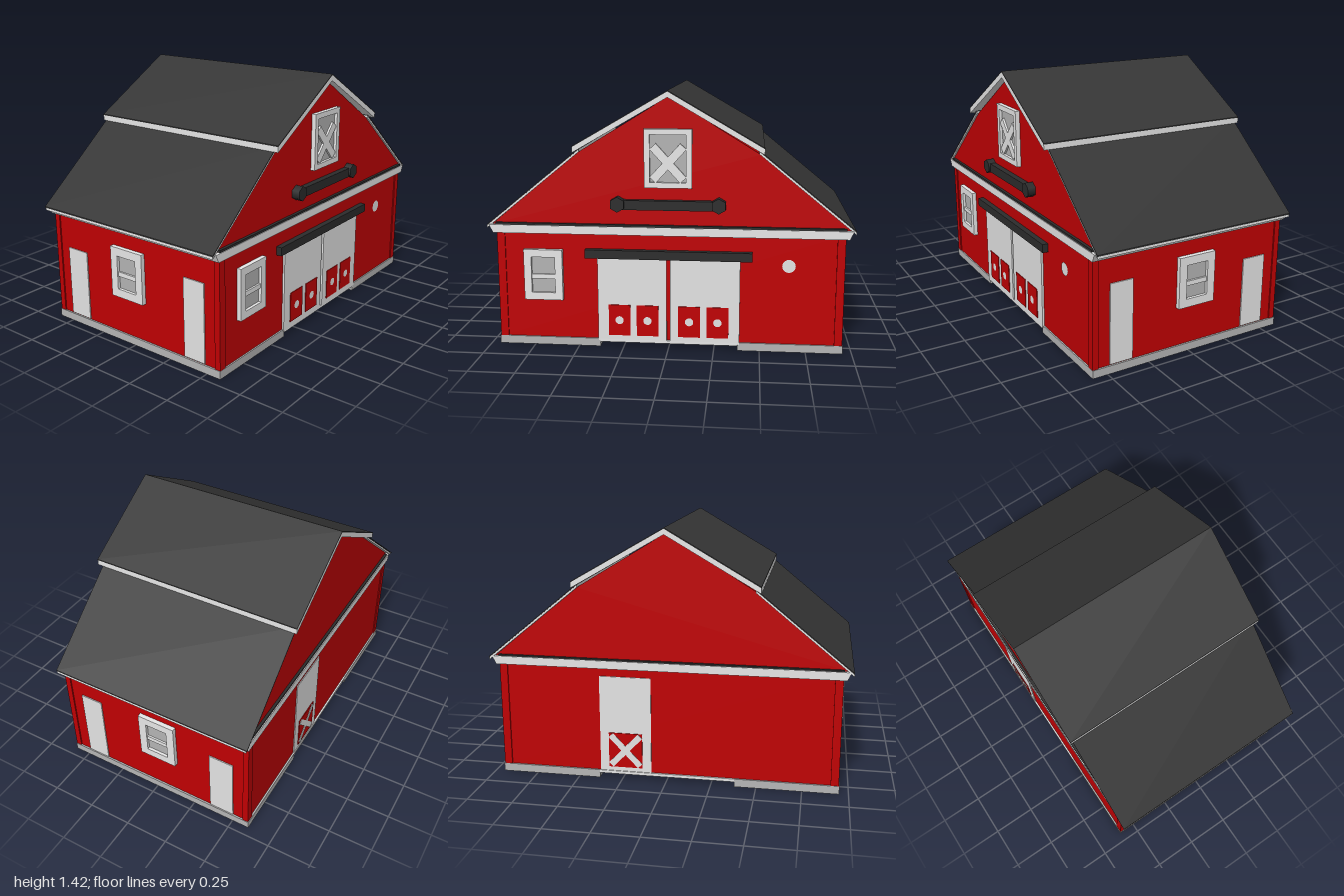
import * as THREE from 'three';

const paint = (name, color) => Object.assign(new THREE.MeshStandardMaterial({ color }), { name });

export function createModel() {
  const red = paint('barn red', 0xc00002);
  const trim = paint('white trim', 0xf2f2f2);
  const door = paint('door white', 0xe4e4e4);
  const roof = paint('roof charcoal', 0x363636);
  const iron = paint('rail iron', 0x2c2c2c);
  const pane = paint('window grey', 0xb4b4b4);
  const stone = paint('base grey', 0xb6b6b6);
  const barn = new THREE.Group();
  barn.name = 'barn';

  const add = (parent, name, geo, mat, x = 0, y = 0, z = 0) => {
    const m = new THREE.Mesh(geo, mat);
    m.name = name;
    m.position.set(x, y, z);
    parent.add(m);
    return m;
  };
  // Box given by its limits on each axis
  const box = (parent, name, mat, x0, x1, y0, y1, z0, z1) =>
    add(parent, name, new THREE.BoxGeometry(x1 - x0, y1 - y0, z1 - z0), mat,
      (x0 + x1) / 2, (y0 + y1) / 2, (z0 + z1) / 2);
  const polygon = pts => new THREE.Shape(pts.map(p => new THREE.Vector2(...p)));
  // Cross-section in xy, extruded between two z limits
  const prism = (name, mat, pts, z0, z1) =>
    add(barn, name, new THREE.ExtrudeGeometry(polygon(pts), { depth: z1 - z0, bevelEnabled: false }), mat, 0, 0, z0);
  // Strip below a roof line, between two vertical offsets
  const layer = (name, mat, line, top, bottom, z0, z1) => prism(name, mat, [
    ...line.map(([x, y]) => [x, y - bottom]),
    ...line.map(([x, y]) => [x, y - top]).reverse(),
  ], z0, z1);
  const rect = (w, h) => [[-w / 2, -h / 2], [w / 2, -h / 2], [w / 2, h / 2], [-w / 2, h / 2]];
  // Two crossed bars filling a w by h opening
  const cross = (parent, w, h, bar, depth, y, z, mat) => {
    for (const s of [-1, 1]) {
      const m = add(parent, 'crossBar', new THREE.BoxGeometry(bar, Math.hypot(w, h) - bar, depth), mat, 0, y, z);
      m.rotation.z = s * Math.atan2(w, h);
    }
  };

  // Walls and gable, reaching up to the roof boards
  box(barn, 'walls', red, -0.94, 0.94, 0.04, 0.66, -0.59, 0.58);
  prism('gable', red, [[-0.975, 0.684], [0.975, 0.684], [0.49, 1.085], [0, 1.386], [-0.49, 1.085]], -0.585, 0.577);
  for (const x of [-0.925, 0.925]) for (const z of [-0.58, 0.57])
    box(barn, 'cornerBoard', red, x - 0.022, x + 0.022, 0.045, 0.64, z - 0.017, z + 0.017);

  // Flared eave band with a dark ledge
  prism('eaveBand', trim, [[-0.965, 0.64], [0.965, 0.64], [0.987, 0.685], [-0.987, 0.685]], -0.605, 0.598);
  box(barn, 'ledgeFront', iron, -0.95, 0.95, 0.685, 0.697, 0.575, 0.594);
  box(barn, 'ledgeBack', iron, -0.95, 0.95, 0.685, 0.694, -0.6, -0.58);

  // Roof: dark sheets over white boards
  const upper = [[-0.51, 1.125], [0, 1.42], [0.51, 1.125]];
  layer('upperRoof', roof, upper, 0, 0.006, -0.63, 0.62);
  layer('upperRoofBoards', trim, upper, 0.006, 0.036, -0.63, 0.62);
  for (const s of [-1, 1]) {
    const lower = [[s * 0.48, 1.11], [s, 0.685]];
    if (s < 0) lower.reverse();
    layer('lowerRoof', roof, lower, 0, 0.007, -0.615, 0.59);
    layer('lowerRoofBoards', trim, lower, 0.007, 0.02, -0.61, 0.588);
  }

  // Base, higher under the doors
  for (const s of [-1, 1])
    box(barn, 'base', stone, s * 0.665 - 0.285, s * 0.665 + 0.285, 0, 0.045, -0.6, 0.588);
  box(barn, 'middleFloor', trim, -0.38, 0.38, 0.028, 0.045, -0.6, 0.592);

  // Front double door with red panels
  for (const s of [-1, 1]) {
    box(barn, 'frontDoor', door, s * 0.2 - 0.19, s * 0.2 + 0.19, 0.035, 0.52, 0.57, 0.592);
    for (const x of [0.115, 0.27]) {
      box(barn, 'doorPanel', red, s * x - 0.06, s * x + 0.06, 0.07, 0.245, 0.591, 0.596);
      add(barn, 'panelDot', new THREE.CircleGeometry(0.023, 16), door, s * x, 0.158, 0.598);
    }
  }

  // Sliding rails, the loft one with pointed ends
  box(barn, 'doorRail', iron, -0.455, 0.455, 0.51, 0.558, 0.57, 0.613);
  box(barn, 'loftRail', iron, -0.29, 0.29, 0.783, 0.835, 0.57, 0.612);
  for (const s of [-1, 1]) {
    const end = add(barn, 'loftRailEnd', new THREE.CylinderGeometry(0.042, 0.042, 0.05, 6), iron, s * 0.272, 0.812, 0.598);
    end.rotation.x = Math.PI / 2;
  }

  // Framed window facing +z in its own group
  const windowAt = (name, w, h, border, crossed, x, y, z, turn) => {
    const g = new THREE.Group();
    g.name = name;
    g.position.set(x, y, z);
    g.rotation.y = turn;
    barn.add(g);
    const frame = polygon(rect(w, h));
    frame.holes.push(new THREE.Path(polygon(rect(w - 2 * border, h - 2 * border)).getPoints().reverse()));
    add(g, 'windowFrame', new THREE.ExtrudeGeometry(frame, { depth: 0.03, bevelEnabled: false }), trim, 0, 0, -0.005);
    add(g, 'windowPane', new THREE.BoxGeometry(w - border, h - border, 0.009), pane, 0, 0, 0.004);
    if (crossed) cross(g, w - 2 * border, h - 2 * border - 0.04, 0.046, 0.012, -0.025, 0.014, trim);
    else add(g, 'windowBar', new THREE.BoxGeometry(w - border, 0.026, 0.014), trim, 0, -0.01, 0.012);
  };
  windowAt('loftWindow', 0.255, 0.315, 0.03, true, 0, 1.06, 0.577, 0);
  windowAt('frontWindow', 0.215, 0.285, 0.042, false, -0.69, 0.408, 0.58, 0);
  for (const s of [-1, 1])
    windowAt('sideWindow', 0.225, 0.285, 0.047, false, s * 0.94, 0.408, -0.032, s * Math.PI / 2);

  // Round plate beside the doors
  add(barn, 'roundPlate', new THREE.CircleGeometry(0.036, 24), door, 0.65, 0.485, 0.584);

  // Side doors
  for (const s of [-1, 1]) {
    const x = s * 0.942;
    box(barn, 'sideDoorFront', door, x - 0.004, x + 0.004, 0.05, 0.495, 0.35, 0.485);
    box(barn, 'sideDoorBack', door, x - 0.004, x + 0.004, 0.05, 0.45, -0.5, -0.355);
  }

  // Back door with a crossed red panel
  box(barn, 'backDoor', door, 0.085, 0.375, 0.045, 0.595, -0.595, -0.587);
  const panel = new THREE.Group();
  panel.name = 'backDoorPanel';
  panel.position.set(0.23, 0.17, -0.597);
  barn.add(panel);
  add(panel, 'panelRed', new THREE.BoxGeometry(0.19, 0.2, 0.005), red);
  cross(panel, 0.19, 0.2, 0.035, 0.004, 0, -0.003, door);

  return barn;
}
